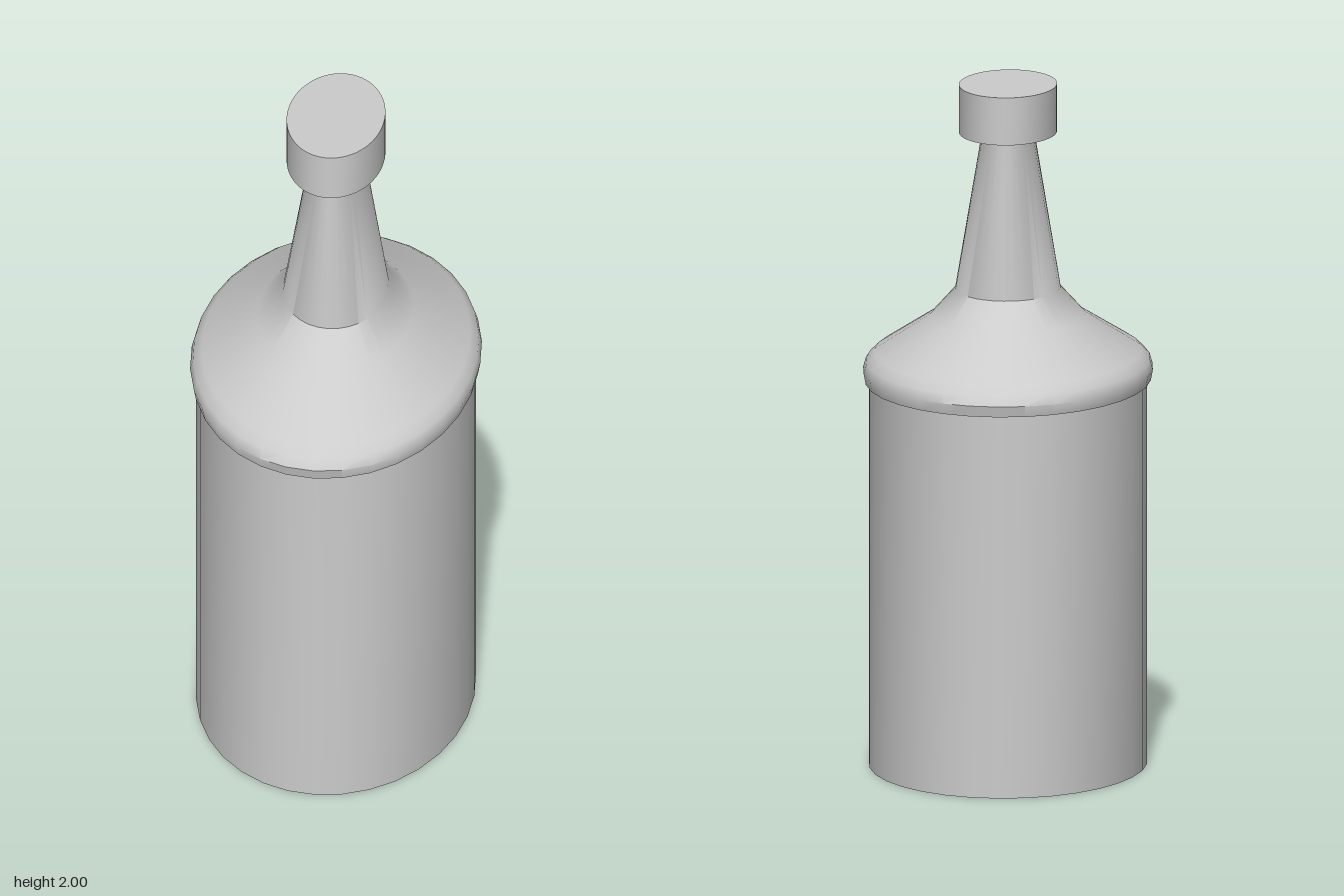
import * as THREE from 'three';
import { toCreasedNormals } from 'three/addons/utils/BufferGeometryUtils.js';

// Closed loft through elliptical rings [y, radiusX, radiusZ], listed bottom to top
function ellipseLoft(rings, sides) {
  const positions = [], index = [];
  for (const [y, rx, rz] of rings) {
    for (let i = 0; i < sides; i++) {
      const a = (i / sides) * Math.PI * 2;
      positions.push(rx * Math.sin(a), y, rz * Math.cos(a));
    }
  }
  const last = (rings.length - 1) * sides;
  const bottom = rings.length * sides, top = bottom + 1;
  positions.push(0, rings[0][0], 0, 0, rings[rings.length - 1][0], 0);
  for (let i = 0; i < sides; i++) {
    const j = (i + 1) % sides;
    for (let r = 0; r < last; r += sides) {
      index.push(r + i, r + j, r + sides + j, r + i, r + sides + j, r + sides + i);
    }
    index.push(bottom, j, i, top, last + i, last + j);
  }
  const geometry = new THREE.BufferGeometry();
  geometry.setAttribute('position', new THREE.Float32BufferAttribute(positions, 3));
  geometry.setIndex(index);
  return toCreasedNormals(geometry, THREE.MathUtils.degToRad(40));
}

export function createModel() {
  const group = new THREE.Group();
  const material = new THREE.MeshStandardMaterial({ color: 0xcccccc });
  const add = (name, rings, sides) => {
    const mesh = new THREE.Mesh(ellipseLoft(rings, sides), material);
    mesh.name = name;
    group.add(mesh);
  };

  // Straight oval body
  add('body', [[0, 0.403, 0.558], [1.13, 0.403, 0.558]], 32);

  // Overhanging rounded lip, sloping shoulder and tapering neck
  add('shoulderAndNeck', [
    [1.13, 0.414, 0.592],
    [1.162, 0.42, 0.6],
    [1.19, 0.412, 0.585],
    [1.215, 0.387, 0.55],
    [1.32, 0.225, 0.315],
    [1.4, 0.153, 0.215],
    [1.86, 0.075, 0.187],
  ], 32);

  // Oval stopper
  add('cap', [[1.86, 0.142, 0.219], [2, 0.142, 0.219]], 64);

  return group;
}
